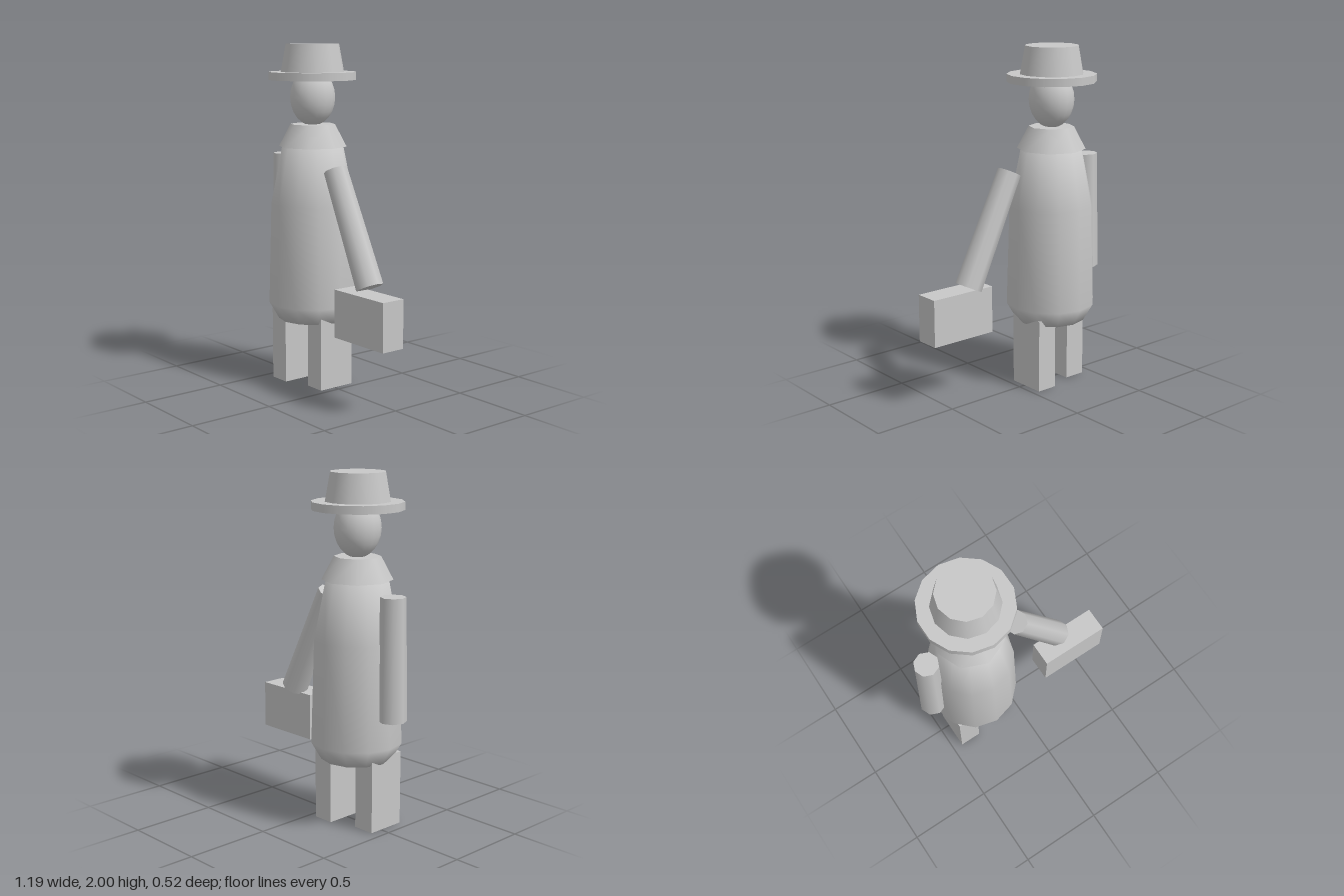
import * as THREE from 'three';

export function createModel() {
  const group = new THREE.Group();
  const grey = new THREE.MeshStandardMaterial({ color: 0xc8c8c8 });
  grey.name = 'light grey';
  const bodyX = -0.24;

  const add = (name, geometry, x, y, z) => {
    const mesh = new THREE.Mesh(geometry, grey);
    mesh.name = name;
    mesh.position.set(x, y, z);
    group.add(mesh);
    return mesh;
  };
  // Box given by its minimum and maximum corners
  const box = (name, [x0, y0, z0], [x1, y1, z1]) =>
    add(name, new THREE.BoxGeometry(x1 - x0, y1 - y0, z1 - z0),
      (x0 + x1) / 2, (y0 + y1) / 2, (z0 + z1) / 2);
  // Upright tapered cylinder on the body axis
  const ring = (name, rTop, rBottom, y0, y1, sides) =>
    add(name, new THREE.CylinderGeometry(rTop, rBottom, y1 - y0, sides), bodyX, (y0 + y1) / 2, 0);
  // Tapered octagonal limb between two points
  const limb = (name, top, bottom, rTop, rBottom) => {
    const a = new THREE.Vector3(...top), b = new THREE.Vector3(...bottom);
    const mid = a.clone().add(b).multiplyScalar(0.5);
    const mesh = add(name, new THREE.CylinderGeometry(rTop, rBottom, a.distanceTo(b), 8), mid.x, mid.y, mid.z);
    mesh.quaternion.setFromUnitVectors(new THREE.Vector3(0, 1, 0), a.sub(b).normalize());
  };

  // Long coat, closed at both ends
  const profile = [[0, 0.39], [0.205, 0.39], [0.262, 0.49], [0.245, 1.08], [0.18, 1.41], [0, 1.41]]
    .map(([r, y]) => new THREE.Vector2(r, y));
  add('coat', new THREE.LatheGeometry(profile, 12), bodyX, 0, 0);
  ring('collar', 0.13, 0.198, 1.41, 1.54, 8);

  // Head and hat
  const head = new THREE.SphereGeometry(1, 16, 12);
  head.scale(0.127, 0.165, 0.135);
  add('head', head, bodyX, 1.695, 0);
  ring('hatBrim', 0.257, 0.257, 1.795, 1.84, 14);
  ring('hatCrown', 0.155, 0.184, 1.84, 2, 12);

  // Arms: one hanging, one reaching out to the suitcase
  limb('rightArm', [-0.512, 1.35, 0], [-0.518, 0.66, 0], 0.071, 0.079);
  limb('leftArm', [0.033, 1.3, 0.05], [0.335, 0.675, 0.05], 0.068, 0.078);

  // Legs in mid stride
  box('rightLeg', [-0.44, 0, -0.075], [-0.31, 0.43, 0.155]);
  box('leftLeg', [-0.165, 0, -0.13], [-0.04, 0.43, 0.1]);

  box('suitcase', [0.18, 0.38, 0.03], [0.59, 0.655, 0.175]);
  return group;
}
